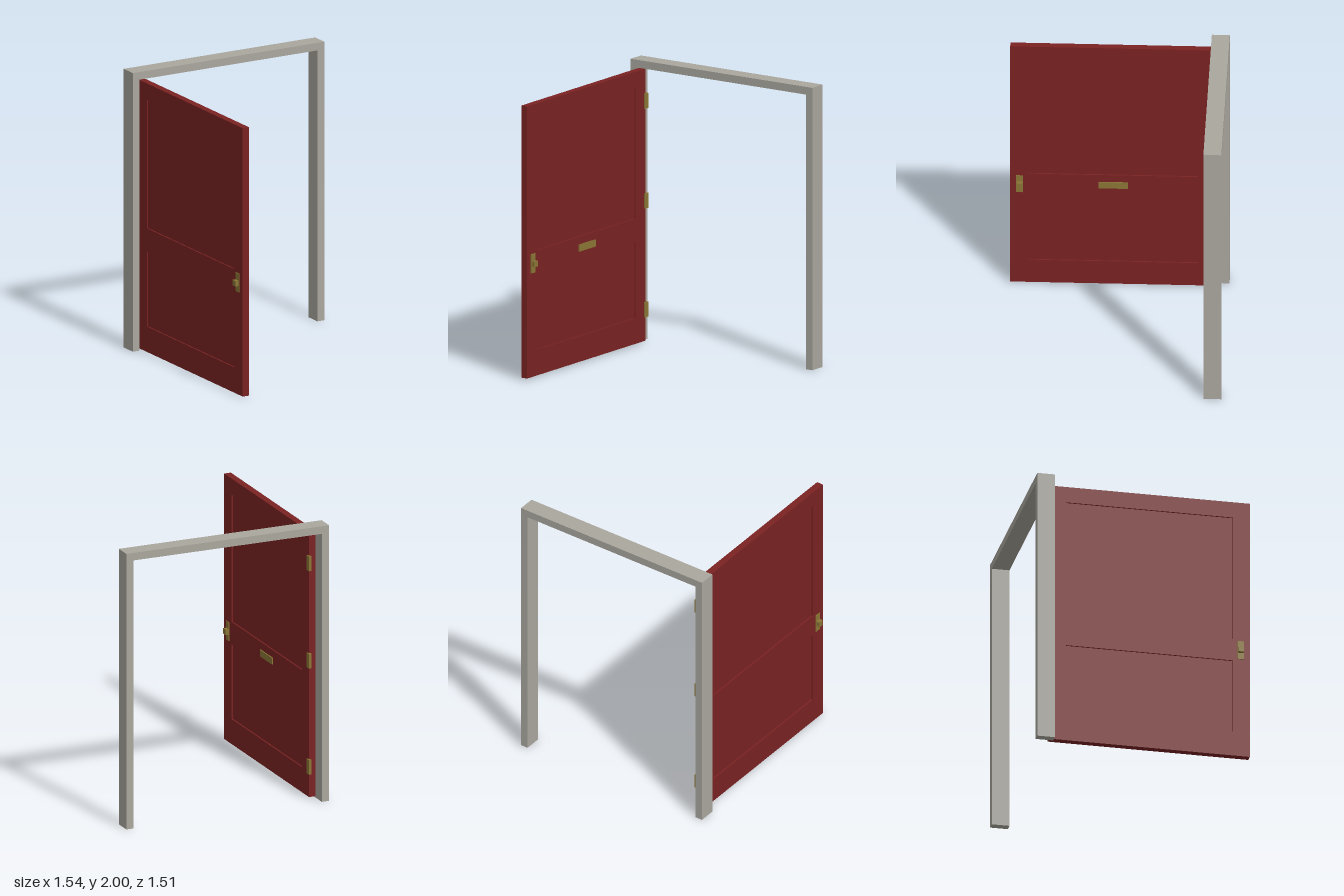
import * as THREE from 'three';

export function createModel() {
  const mat = (name, color) => {
    const m = new THREE.MeshStandardMaterial({ color });
    m.name = name;
    return m;
  };
  const stone = mat('warm grey frame paint', 0xaaa79e);
  const red = mat('dark red door paint', 0x7a2222);
  const brass = mat('aged brass', 0x8b7636);

  // Box given by its minimum and maximum on each axis
  const box = (parent, name, material, [x0, x1], [y0, y1], [z0, z1]) => {
    const mesh = new THREE.Mesh(new THREE.BoxGeometry(x1 - x0, y1 - y0, z1 - z0), material);
    mesh.position.set((x0 + x1) / 2, (y0 + y1) / 2, (z0 + z1) / 2);
    mesh.name = name;
    parent.add(mesh);
  };
  const group = (parent, name) => {
    const g = new THREE.Group();
    g.name = name;
    parent.add(g);
    return g;
  };

  const model = new THREE.Group();
  model.name = 'openDoor';

  // Frame: two posts and a lintel
  const frame = group(model, 'doorFrame');
  const depth = [-0.756, -0.632];
  box(frame, 'leftPost', stone, [0.713, 0.768], [0, 1.945], depth);
  box(frame, 'rightPost', stone, [-0.768, -0.713], [0, 1.945], depth);
  box(frame, 'lintel', stone, [-0.768, 0.768], [1.945, 2], depth);

  // Door leaf: stiles and rails around two recessed panels
  const door = group(model, 'doorLeaf');
  const thick = [-0.71, -0.66], core = [-0.699, -0.671];
  const inner = [-0.54, 0.636];
  box(door, 'hingeStile', red, thick, [0.013, 1.94], [-0.66, inner[0]]);
  box(door, 'lockStile', red, thick, [0.013, 1.94], [inner[1], 0.756]);
  box(door, 'bottomRail', red, thick, [0.013, 0.195], inner);
  box(door, 'middleRail', red, thick, [0.736, 0.9], inner);
  box(door, 'topRail', red, thick, [1.823, 1.94], inner);
  box(door, 'lowerPanel', red, core, [0.195, 0.736], inner);
  box(door, 'upperPanel', red, core, [0.9, 1.823], inner);

  // Hinges along the back edge
  for (const y of [0.235, 1.005, 1.712])
    box(door, 'hinge', brass, [-0.67, -0.65], [y - 0.053, y + 0.053], [-0.68, -0.64]);

  // Handle plate and square knob on both faces
  for (const [plate, knob] of [[[-0.66, -0.654], [-0.654, -0.63]], [[-0.716, -0.71], [-0.742, -0.716]]]) {
    box(door, 'handlePlate', brass, plate, [0.75, 0.885], [0.667, 0.715]);
    box(door, 'doorKnob', brass, knob, [0.796, 0.836], [0.671, 0.709]);
  }

  // Letter slot plate on the middle rail
  box(door, 'letterSlot', brass, [-0.66, -0.652], [0.796, 0.845], [-0.056, 0.145]);

  return model;
}
